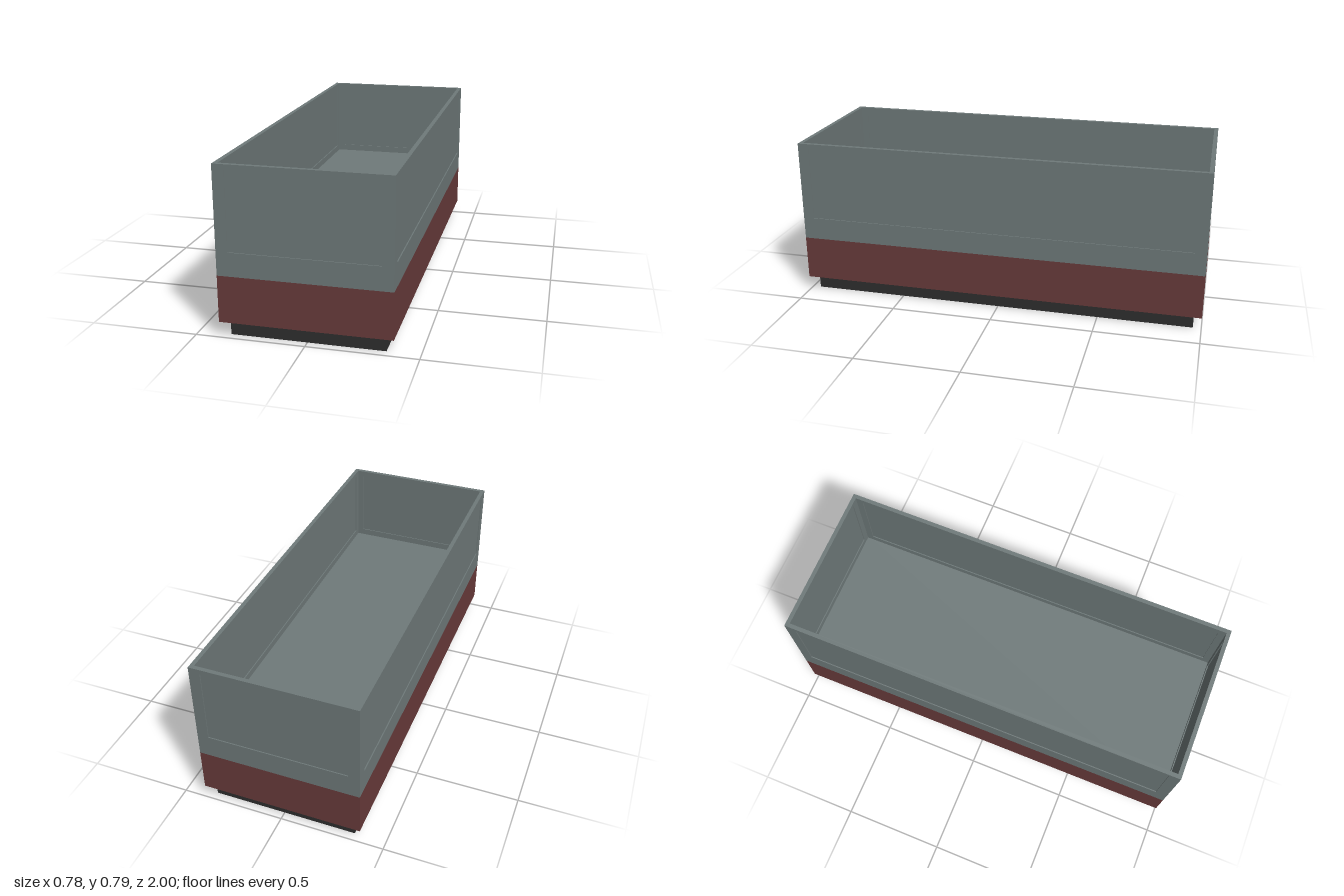
import * as THREE from 'three';

const HX = 0.389, HZ = 1;              // half width, half length
const TOP = 0.788, FLOOR = 0.366, SPLIT = 0.29, LEDGE = 0.073;
const WALL = 0.02, RECESS = 0.005;
const PLINTH_X = 0.35, PLINTH_Z = 0.96;

function rectangle(target, x0, y0, x1, y1) {
  target.moveTo(x0, y0);
  target.lineTo(x1, y0);
  target.lineTo(x1, y1);
  target.lineTo(x0, y1);
  target.closePath();
  return target;
}

export function createModel() {
  const make = (name, color, side) => new THREE.MeshStandardMaterial({ name, color, side });
  const grey = make('slate grey', 0x6f7a7a, THREE.DoubleSide);
  const red = make('dark red', 0x693b3b, THREE.DoubleSide);
  const black = make('charcoal', 0x2e2e2e, THREE.DoubleSide);

  const model = new THREE.Group();
  model.name = 'planter';

  const add = (parent, name, geometry, material) => {
    const mesh = new THREE.Mesh(geometry, material);
    mesh.name = name;
    parent.add(mesh);
    return mesh;
  };

  // Open rectangular band of four thin sheets
  function band(name, hx, hz, y0, y1, material) {
    const group = new THREE.Group();
    group.name = name;
    for (let i = 0; i < 4; i++) {
      const end = i % 2 === 0;
      const geometry = new THREE.PlaneGeometry(2 * (end ? hx : hz), y1 - y0);
      geometry.translate(0, (y0 + y1) / 2, end ? hz : hx);
      add(group, name + 'Side', geometry, material).rotation.y = i * Math.PI / 2;
    }
    model.add(group);
  }

  // Upper wall: a frame around a panel recessed on both faces
  function upperWall(name, halfLength, halfPanel, distance, angle) {
    const group = new THREE.Group();
    group.name = name;
    const y0 = 0.4, y1 = 0.765;
    const shape = rectangle(new THREE.Shape(), -halfLength, FLOOR, halfLength, TOP);
    shape.holes.push(rectangle(new THREE.Path(), -halfPanel, y0, halfPanel, y1));
    const frame = new THREE.ExtrudeGeometry(shape, { depth: WALL, bevelEnabled: false });
    frame.translate(0, 0, distance - WALL);
    add(group, name + 'Frame', frame, grey);
    const panel = new THREE.BoxGeometry(2 * halfPanel, y1 - y0, WALL - 2 * RECESS);
    panel.translate(0, (y0 + y1) / 2, distance - WALL / 2);
    add(group, name + 'Panel', panel, grey);
    group.rotation.y = angle;
    model.add(group);
  }

  upperWall('frontWall', HX, 0.335, HZ, 0);
  upperWall('backWall', HX, 0.335, HZ, Math.PI);
  upperWall('leftWall', HZ - WALL, 0.945, HX, Math.PI / 2);
  upperWall('rightWall', HZ - WALL, 0.945, HX, -Math.PI / 2);

  // Lower shell and plinth, hollow and open underneath
  band('greyBand', HX, HZ, SPLIT, FLOOR, grey);
  band('redBand', HX, HZ, LEDGE, SPLIT, red);
  band('plinth', PLINTH_X, PLINTH_Z, 0, LEDGE, black);

  // Inner floor
  const floor = new THREE.PlaneGeometry(2 * HX, 2 * HZ);
  floor.rotateX(-Math.PI / 2).translate(0, FLOOR, 0);
  add(model, 'floor', floor, grey);

  // Ledge between the shell and the plinth
  const ledgeShape = rectangle(new THREE.Shape(), -HX, -HZ, HX, HZ);
  ledgeShape.holes.push(rectangle(new THREE.Path(), -PLINTH_X, -PLINTH_Z, PLINTH_X, PLINTH_Z));
  const ledge = new THREE.ShapeGeometry(ledgeShape);
  ledge.rotateX(Math.PI / 2).translate(0, LEDGE, 0);
  add(model, 'ledge', ledge, grey);

  return model;
}
